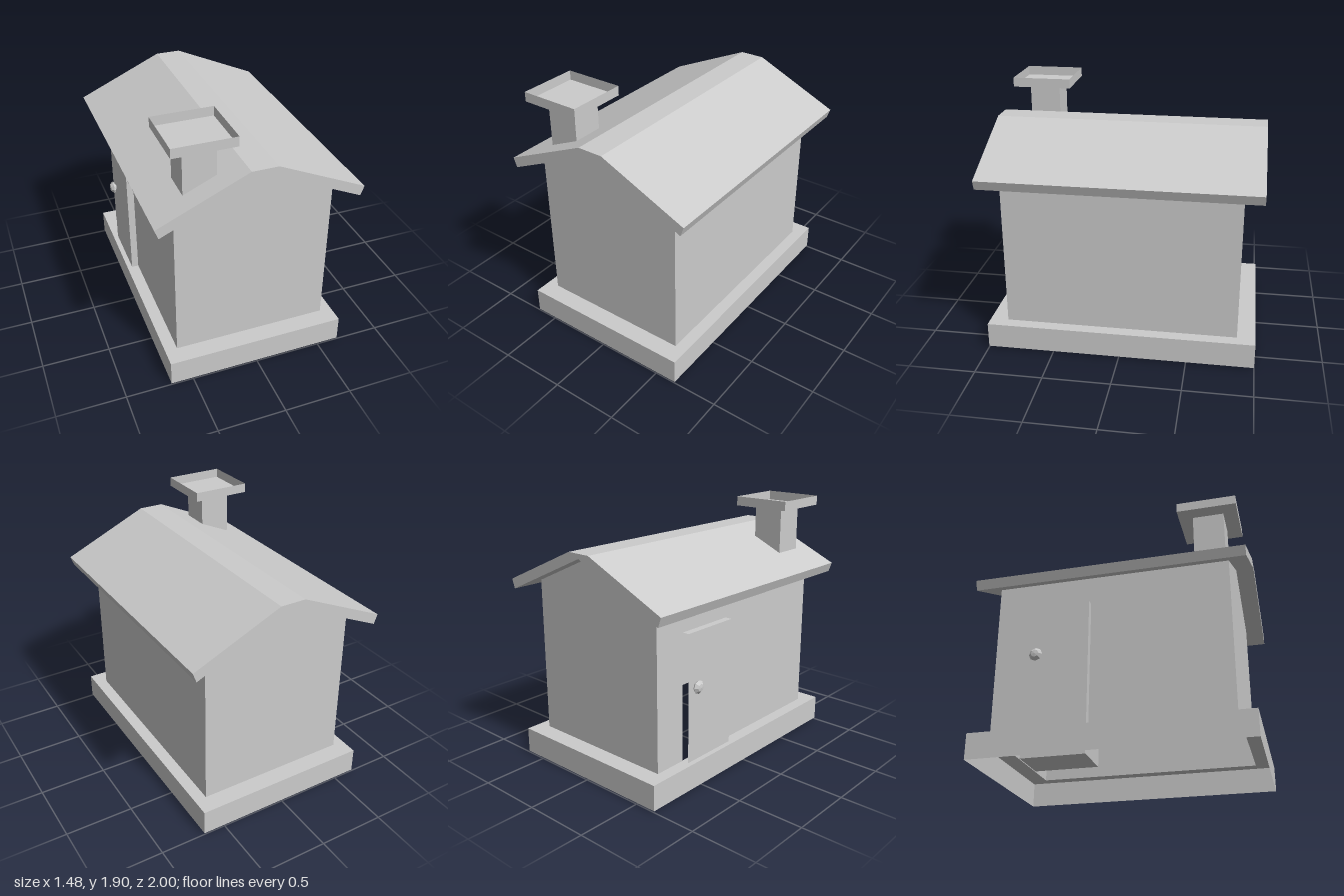
import * as THREE from 'three';

const solid = new THREE.MeshStandardMaterial({ color: 0xcccccc, flatShading: true });
const thin = new THREE.MeshStandardMaterial({ color: 0xcccccc, flatShading: true, side: THREE.DoubleSide });

const RIGHT = 0, LEFT = 1, TOP = 2, BOTTOM = 3, FRONT = 4, BACK = 5; // +x -x +y -y +z -z

function mesh(name, geometry, material = thin) {
  const m = new THREE.Mesh(geometry, material);
  m.name = name;
  return m;
}

// Box between two corners, keeping only the listed faces
function panels(name, min, max, faces, material = thin) {
  const size = max.map((v, i) => v - min[i]);
  const geo = new THREE.BoxGeometry(...size);
  const all = Array.from(geo.index.array);
  geo.setIndex(faces.flatMap((f) => all.slice(f * 6, f * 6 + 6)));
  geo.clearGroups();
  geo.translate(...min.map((v, i) => v + size[i] / 2));
  return mesh(name, geo, material);
}

const polygon = (pts) => new THREE.Shape(pts.map(([x, y]) => new THREE.Vector2(x, y)));
const rect = (x0, y0, x1, y1) => [[x0, y0], [x1, y0], [x1, y1], [x0, y1]];

// Flat sheet with a rectangular opening
function sheet(outer, hole) {
  const shape = polygon(rect(...outer));
  shape.holes.push(polygon(rect(...hole)));
  return new THREE.ShapeGeometry(shape);
}

export function createModel() {
  const house = new THREE.Group();
  house.name = 'house';

  const wx = 0.575, wz = 0.865, floorY = 0.2, eaveY = 1.37, ridgeY = 1.63;
  const doorZ0 = -0.61, doorZ1 = -0.15, doorTop = 1.15;

  // Hollow base, open underneath, with a ledge around the walls
  house.add(panels('baseSides', [-0.665, 0.01, -1], [0.665, floorY, 1], [RIGHT, LEFT, FRONT, BACK]));
  const ledge = mesh('baseLedge', sheet([-0.665, -1, 0.665, 1], [-wx, -wz, wx, wz]));
  ledge.rotation.x = -Math.PI / 2;
  ledge.position.y = floorY;
  house.add(ledge);

  // Gable walls
  const gable = polygon([[-wx, floorY], [wx, floorY], [wx, eaveY], [0, ridgeY], [-wx, eaveY]]);
  for (const s of [1, -1]) {
    const wall = mesh(s > 0 ? 'frontWall' : 'backWall', new THREE.ShapeGeometry(gable));
    wall.position.z = s * wz;
    if (s < 0) wall.rotation.y = Math.PI;
    house.add(wall);
  }

  // Side walls, one with the doorway
  house.add(panels('leftWall', [-wx, floorY, -wz], [wx, eaveY, wz], [RIGHT]));
  const doorWall = mesh('doorWall', sheet([-wz, floorY, wz, eaveY], [doorZ0, floorY + 0.001, doorZ1, doorTop]));
  doorWall.rotation.y = -Math.PI / 2;
  doorWall.position.x = -wx;
  house.add(doorWall);

  // Roof slab
  const roofShape = polygon([
    [-0.715, 1.305], [0, ridgeY], [0.715, 1.305], [0.74, 1.375],
    [0.095, 1.665], [-0.095, 1.665], [-0.74, 1.375],
  ]);
  const roofGeo = new THREE.ExtrudeGeometry(roofShape, { depth: 2, bevelEnabled: false });
  roofGeo.translate(0, 0, -1);
  house.add(mesh('roof', roofGeo, solid));

  // Chimney shaft reaching into the room, with an open tray cap
  house.add(panels('chimneyShaft', [-0.5, 0.88, 0.61], [-0.265, 1.83, 0.84], [RIGHT, LEFT, BOTTOM, FRONT, BACK]));
  house.add(panels('chimneyCap', [-0.605, 1.83, 0.505], [-0.16, 1.9, 0.945], [RIGHT, LEFT, BOTTOM, FRONT, BACK]));

  // Door with its open-sided frame
  const door = new THREE.Group();
  door.name = 'door';
  const d0 = [-0.627, 0, doorZ0], d1 = [-0.32, doorTop, doorZ1];
  door.add(panels('doorPanel', d0, d1, [LEFT], solid));
  door.add(panels('doorFrame', d0, d1, [TOP, BOTTOM, FRONT]));

  // Knobs on both faces of the door
  const profile = [[0, 0], [0.022, 0], [0.022, 0.008], [0.042, 0.012], [0.05, 0.024], [0.028, 0.045], [0, 0.049]]
    .map(([r, h]) => new THREE.Vector2(r, h));
  for (const s of [1, -1]) {
    const knob = mesh(s > 0 ? 'outerKnob' : 'innerKnob', new THREE.LatheGeometry(profile, 8));
    knob.rotation.z = s * Math.PI / 2;
    knob.position.set(-0.627, 0.755, -0.53);
    door.add(knob);
  }
  house.add(door);

  return house;
}
